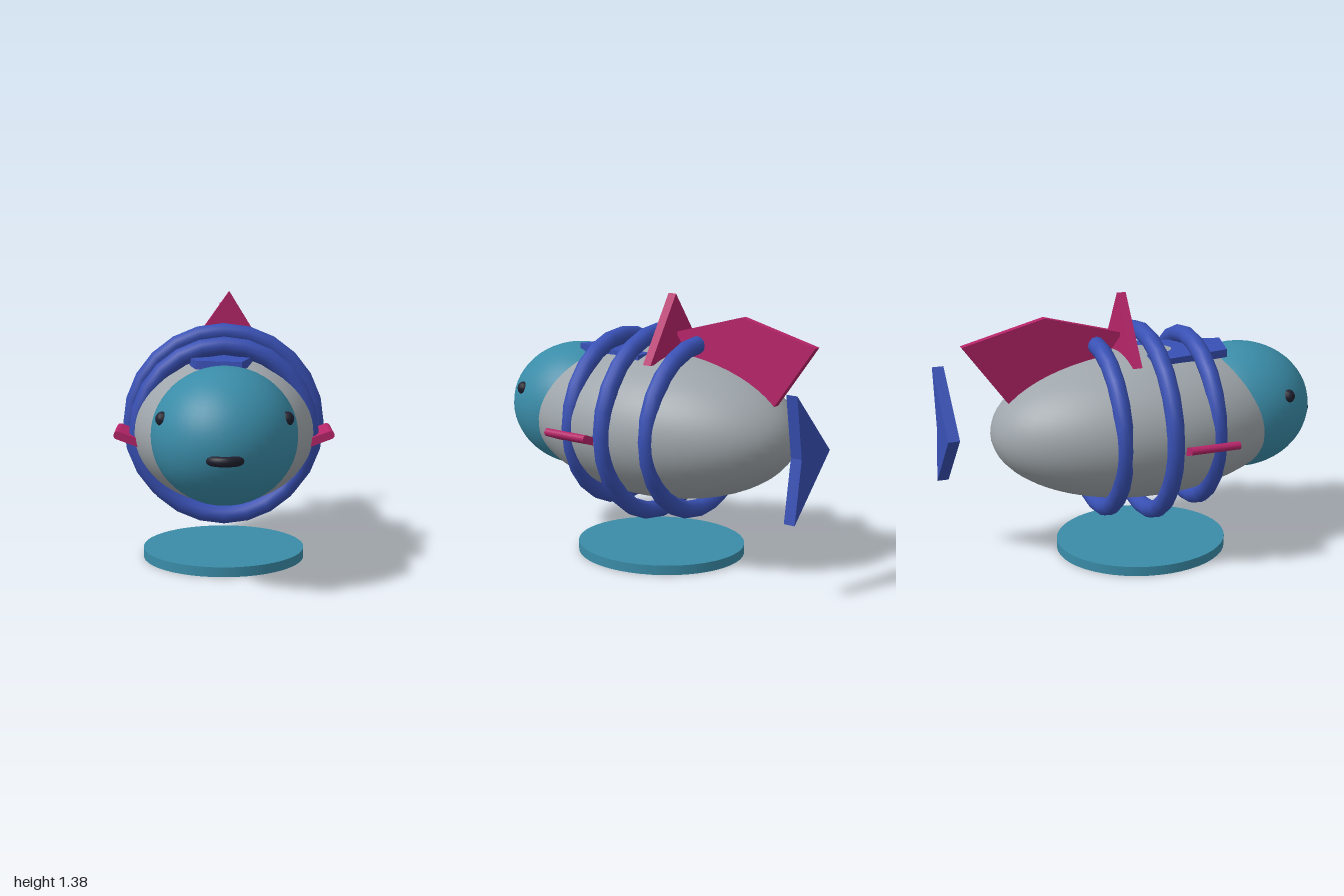
import * as THREE from 'three';

const mat = (name, color) => Object.assign(new THREE.MeshStandardMaterial({ color }), { name });

export function createModel() {
  const grey = mat('body grey', 0x9fa6ab);
  const teal = mat('teal', 0x3a8ca8);
  const blue = mat('blue', 0x3850b4);
  const magenta = mat('magenta', 0xb52468);
  const dark = mat('dark', 0x1f1f2e);

  const model = new THREE.Group();
  model.name = 'fish';

  const add = (name, geometry, material, x = 0, y = 0, z = 0) => {
    const mesh = new THREE.Mesh(geometry, material);
    mesh.name = name;
    mesh.position.set(x, y, z);
    model.add(mesh);
    return mesh;
  };
  // Flat plate from an outline, centred on its own thickness
  const plate = (points, depth) =>
    new THREE.ExtrudeGeometry(
      new THREE.Shape(points.map(([a, b]) => new THREE.Vector2(a, b))),
      { depth, bevelEnabled: false }
    ).translate(0, 0, -depth / 2);

  // Body and head
  add('body', new THREE.SphereGeometry(1, 48, 32), grey, 0, 0.7, 0.03).scale.set(0.48, 0.385, 0.805);
  add('head', new THREE.SphereGeometry(1, 40, 28), teal, 0, 0.73, 0.577).scale.set(0.355, 0.335, 0.387);

  // Hoops round the body, the middle one larger
  for (const [z, radius] of [[0.28, 0.43], [0.03, 0.476], [-0.22, 0.43]]) {
    add('hoop', new THREE.TorusGeometry(radius, 0.046, 12, 24), blue, 0, 0.703, z);
  }

  // Mouth: half ring lying flat, curving forward
  const mouth = new THREE.TorusGeometry(0.075, 0.024, 10, 24, Math.PI).rotateX(Math.PI / 2);
  add('mouth', mouth, dark, 0, 0.674, 0.9);

  // Eyes and side fins
  const finSection = new THREE.Shape();
  finSection.absarc(0.1, 0, 0.02, -Math.PI / 2, Math.PI / 2);
  finSection.absarc(-0.1, 0, 0.02, Math.PI / 2, Math.PI * 1.5);
  const finGeometry = new THREE.ExtrudeGeometry(finSection, { depth: 0.262, bevelEnabled: false, curveSegments: 6 });
  for (const side of [1, -1]) {
    add(side > 0 ? 'leftEye' : 'rightEye', new THREE.SphereGeometry(0.036, 12, 8), dark, side * 0.29, 0.835, 0.735);
    const fin = add(side > 0 ? 'leftFin' : 'rightFin', finGeometry, magenta, side * 0.437, 0.657, 0.088);
    fin.rotation.z = side * 0.36;
  }

  // Tall kite-shaped fin along the back
  const backFin = plate([[-0.08, 1.185], [-0.49, 1.295], [-0.917, 1.185], [-0.5, 0.615]], 0.036);
  add('backFin', backFin.rotateY(-Math.PI / 2), magenta);

  // Triangular crest across the back
  add('crest', plate([[-0.21, 1.045], [0.24, 1.04], [0.03, 1.383]], 0.048), magenta, 0, 0, -0.068);

  // Flat plate on top behind the head
  const saddle = plate([[-0.22, 0.02], [0.2, 0.02], [0.085, 0.508], [-0.14, 0.45]], 0.042);
  add('topPlate', saddle.rotateX(Math.PI / 2), blue, 0, 1.056, 0);

  // Forked tail plate
  add('tail', plate([[0, 0.7], [0.3, 0.39], [0.25, 0.7], [0.3, 1.01]], 0.06), blue, 0, 0, -0.97);

  // Oval base
  add('base', new THREE.CylinderGeometry(1, 1, 0.05, 48), teal, 0, 0.025, 0.027).scale.set(0.421, 1, 0.453);

  return model;
}
